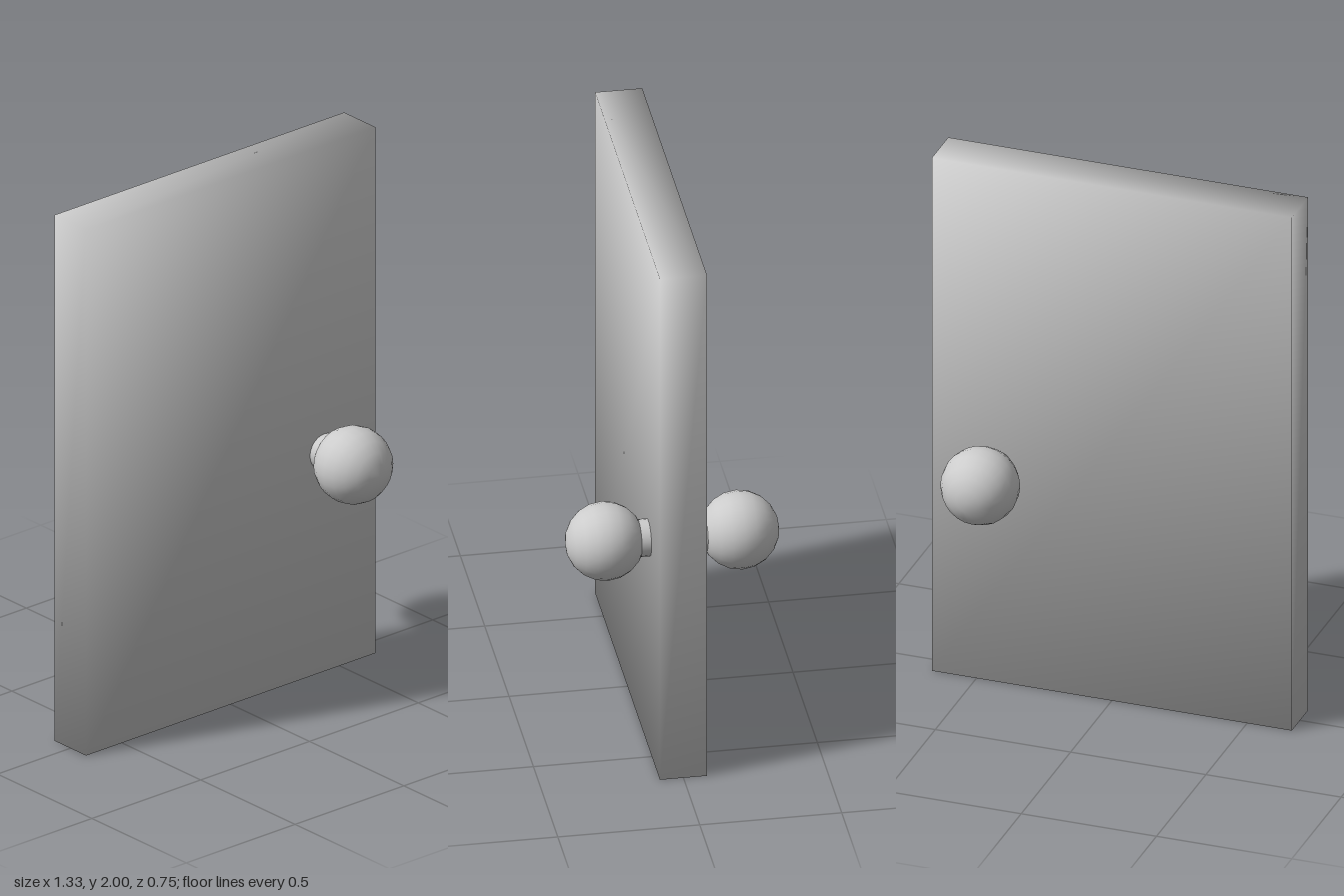
import * as THREE from 'three';

export function createModel() {
  const group = new THREE.Group();
  const grey = new THREE.MeshStandardMaterial({ color: 0xcccccc });
  grey.name = 'light grey';

  function add(name, geometry, parent) {
    const mesh = new THREE.Mesh(geometry, grey);
    mesh.name = name;
    parent.add(mesh);
    return mesh;
  }

  // Door slab, with soft normals shared by the faces at each corner
  const slab = new THREE.BoxGeometry(1.33, 2, 0.166);
  const pos = slab.attributes.position;
  const k = 1 / Math.sqrt(3);
  for (let i = 0; i < pos.count; i++) {
    slab.attributes.normal.setXYZ(i,
      Math.sign(pos.getX(i)) * k, Math.sign(pos.getY(i)) * k, Math.sign(pos.getZ(i)) * k);
  }
  add('doorPanel', slab, group).position.y = 1;

  // A round knob on a short neck, on each side of the door
  for (const [name, side] of [['frontKnob', 1], ['backKnob', -1]]) {
    const knob = new THREE.Group();
    knob.name = name;
    knob.position.set(0.43, 0.837, 0);
    if (side < 0) knob.rotation.y = Math.PI;

    const neck = new THREE.CylinderGeometry(0.066, 0.066, 0.09, 24, 1, true);
    neck.rotateX(Math.PI / 2);
    add(name + 'Neck', neck, knob).position.z = 0.105;

    const ball = new THREE.SphereGeometry(0.139, 24, 10);
    ball.rotateX(Math.PI / 2);
    add(name + 'Ball', ball, knob).position.z = 0.237;
    group.add(knob);
  }
  return group;
}
